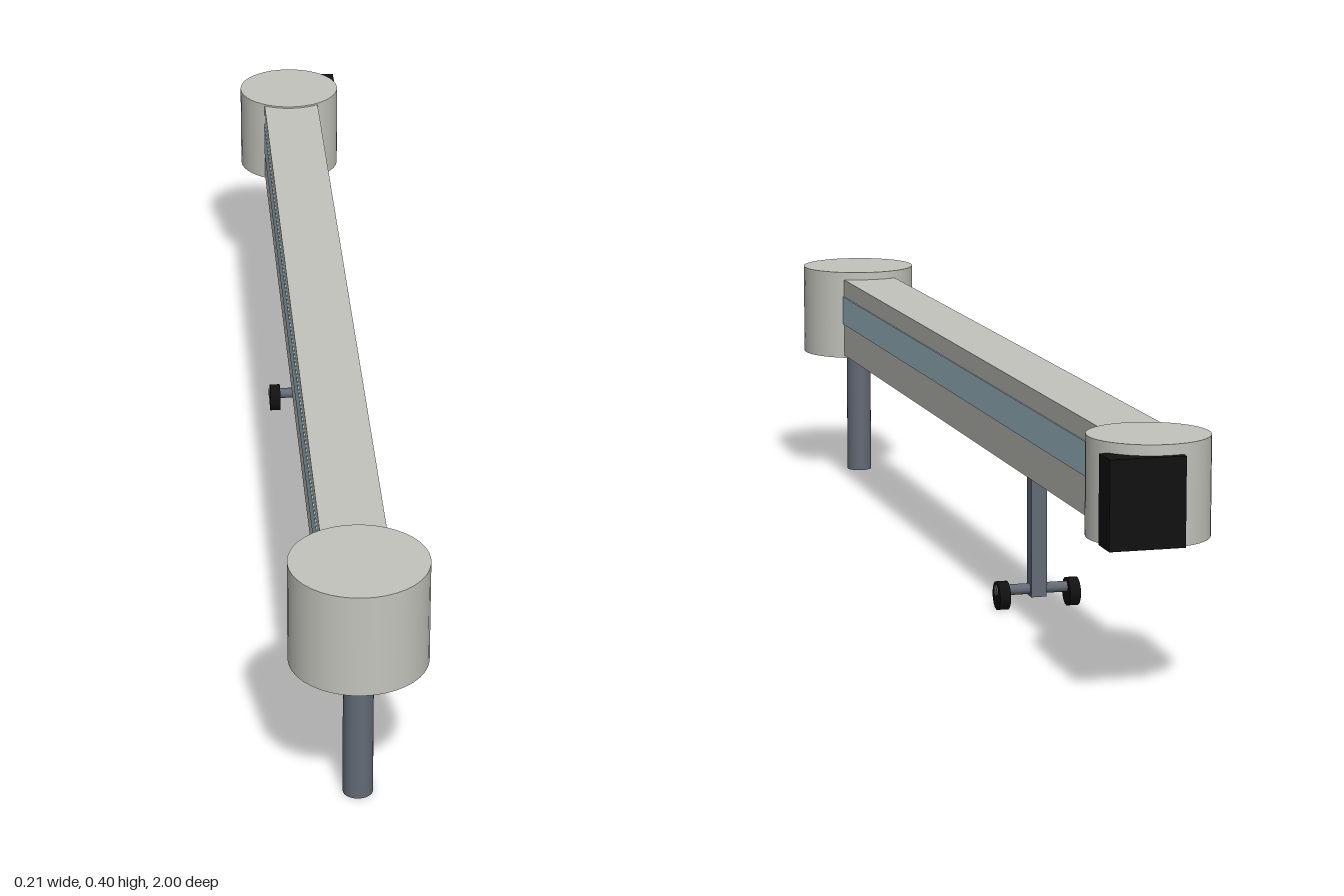
import * as THREE from 'three';

export function createModel() {
  const model = new THREE.Group();
  model.name = 'boardingBridge';

  const material = (name, color) => {
    const m = new THREE.MeshStandardMaterial({ color });
    m.name = name;
    return m;
  };
  const panel = material('warm grey panel', 0xc4c4bd);
  const glass = material('pale blue glass', 0xa8c4d0);
  const steel = material('slate steel', 0x626a76);
  const rubber = material('black rubber', 0x111111);

  const add = (name, geometry, mat, x, y, z) => {
    const mesh = new THREE.Mesh(geometry, mat);
    mesh.name = name;
    mesh.position.set(x, y, z);
    model.add(mesh);
    return mesh;
  };
  // Parts given by their lower and upper limits
  const box = (name, mat, [x0, x1], [y0, y1], [z0, z1]) =>
    add(name, new THREE.BoxGeometry(x1 - x0, y1 - y0, z1 - z0), mat,
      (x0 + x1) / 2, (y0 + y1) / 2, (z0 + z1) / 2);
  const drum = (name, mat, r, y0, y1, z, sides = 32) =>
    add(name, new THREE.CylinderGeometry(r, r, y1 - y0, sides), mat, 0, (y0 + y1) / 2, z);

  // Fixed round end and its column
  drum('rotunda', panel, 0.105, 0.235, 0.4, 0.895, 40);
  drum('rotundaColumn', steel, 0.023, 0, 0.235, 0.895, 24);

  // Long tunnel with a window band on each side
  box('tunnel', panel, [-0.05, 0.05], [0.24, 0.386], [-0.85, 0.85]);
  for (const s of [-1, 1]) {
    add(s > 0 ? 'leftWindowBand' : 'rightWindowBand',
      new THREE.BoxGeometry(0.003, 0.053, 1.62), glass, s * 0.0505, 0.327, 0);
  }

  // Round cab with its docking bumper
  drum('cab', panel, 0.092, 0.238, 0.389, -0.898, 40);
  box('dockingBumper', rubber, [-0.024, 0.091], [0.239, 0.373], [-1, -0.948]);

  // Drive leg, axle and wheels
  box('driveLeg', steel, [-0.013, 0.013], [0.02, 0.24], [-0.343, -0.317]);
  const axle = add('axle', new THREE.CylinderGeometry(0.009, 0.009, 0.14, 12), steel, 0, 0.032, -0.33);
  axle.rotation.z = Math.PI / 2;
  for (const s of [-1, 1]) {
    const wheel = add(s > 0 ? 'leftWheel' : 'rightWheel',
      new THREE.CylinderGeometry(0.0235, 0.0235, 0.018, 16), rubber, s * 0.059, 0.0235, -0.33);
    wheel.rotation.z = Math.PI / 2;
  }

  return model;
}
